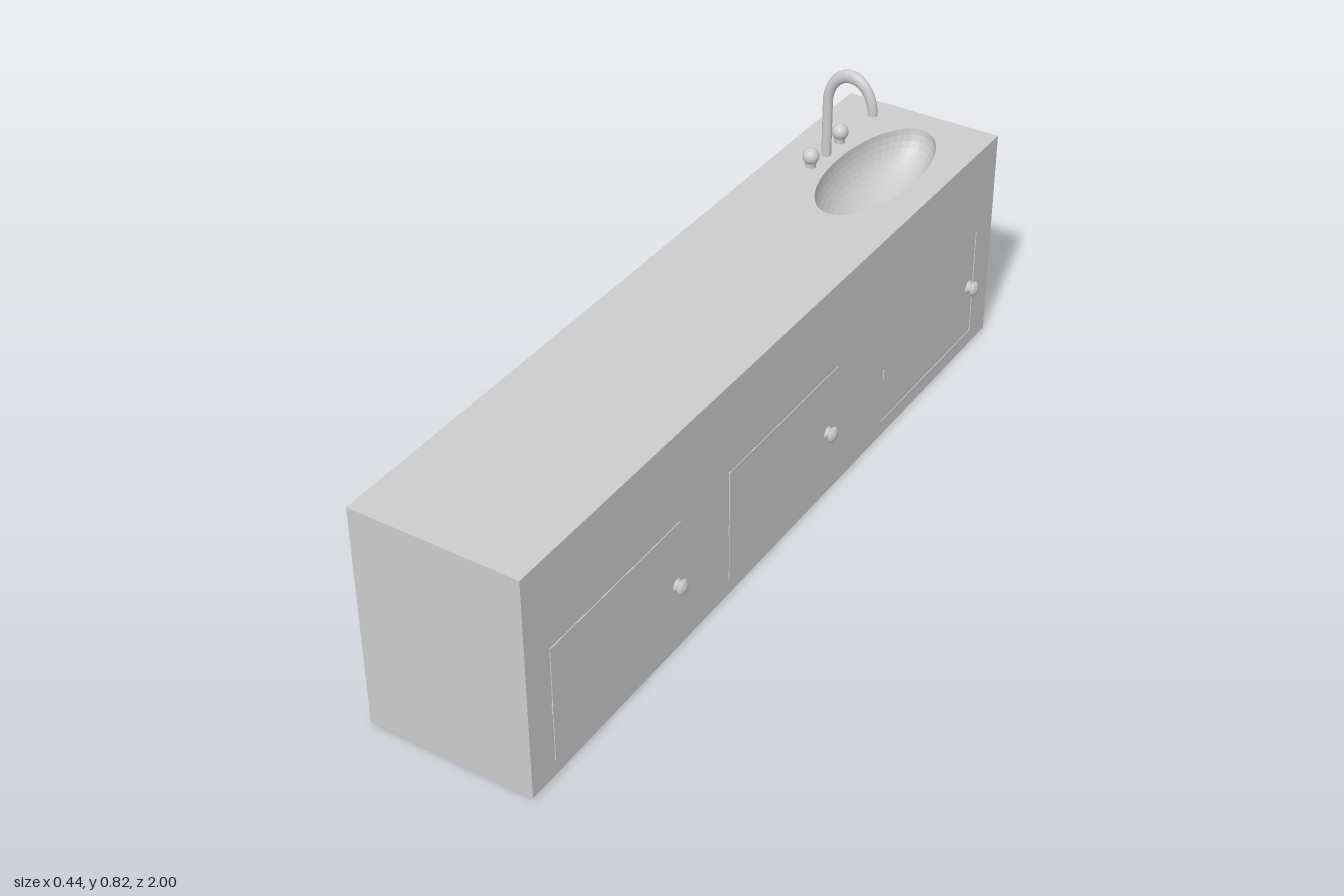
import * as THREE from 'three';

export function createModel() {
  const model = new THREE.Group();
  const grey = new THREE.MeshStandardMaterial({ color: 0xcccccc, side: THREE.DoubleSide });
  grey.name = 'plain grey';
  const faceted = grey.clone();
  faceted.flatShading = true;

  function add(name, geometry, x, y, z, material = grey) {
    const mesh = new THREE.Mesh(geometry, material);
    mesh.name = name;
    mesh.position.set(x, y, z);
    model.add(mesh);
    return mesh;
  }
  const lathe = (pts, seg = 20) =>
    new THREE.LatheGeometry(pts.map(([r, y]) => new THREE.Vector2(r, y)), seg);
  function rectangle(x0, y0, x1, y1, Type = THREE.Shape) {
    const s = new Type();
    s.moveTo(x0, y0);
    s.lineTo(x1, y0);
    s.lineTo(x1, y1);
    s.lineTo(x0, y1);
    s.closePath();
    return s;
  }

  // Cabinet limits, doors and basin
  const L = -0.223, R = 0.194, H = 0.57, W = R - L, midX = (L + R) / 2;
  const doorLow = 0.04, doorHigh = 0.34, doorMid = 0.19, lip = 0.002;
  const basin = { x: 0.022, z: -0.692, rx: 0.105, rz: 0.235, depth: 0.12 };

  // Worktop with an oval opening (shape y becomes -z)
  const top = rectangle(L, -1, R, 1);
  const oval = new THREE.Path();
  oval.absellipse(basin.x, -basin.z, basin.rx, basin.rz, 0, Math.PI * 2, true);
  top.holes.push(oval);
  add('worktop', new THREE.ShapeGeometry(top, 24).rotateX(-Math.PI / 2), 0, H, 0);

  // Bowl: lower half of an ellipsoid
  const bowl = new THREE.SphereGeometry(1, 48, 12, 0, Math.PI * 2, Math.PI / 2, Math.PI / 2);
  bowl.scale(basin.rx, basin.depth, basin.rz);
  bowl.index.array.reverse(); // faces the inside
  bowl.computeVertexNormals();
  add('basin', bowl, basin.x, H, basin.z, faceted);

  // Remaining cabinet walls
  add('cabinetBottom', new THREE.PlaneGeometry(W, 2).rotateX(Math.PI / 2), midX, 0, 0);
  add('cabinetBack', new THREE.PlaneGeometry(2, H).rotateY(-Math.PI / 2), L, H / 2, 0);
  add('cabinetEnd', new THREE.PlaneGeometry(W, H), midX, H / 2, 1);
  add('cabinetEnd', new THREE.PlaneGeometry(W, H).rotateY(Math.PI), midX, H / 2, -1);

  // Door wall with an opening for the slightly sunken door (shape x becomes -z)
  const wall = rectangle(-1, 0, 1, H);
  wall.holes.push(rectangle(0.447, doorLow, 0.917, doorHigh, THREE.Path));
  add('doorWall', new THREE.ShapeGeometry(wall).rotateY(Math.PI / 2), R, 0, 0);

  // Doors, each with a hinge on one side and a knob on the other
  const knobShape = [[0.018, 0], [0.015, 0.004], [0.012, 0.008], [0.016, 0.011],
    [0.02, 0.015], [0.019, 0.019], [0.012, 0.024], [0, 0.026]];
  const doors = [
    { z: 0.685, out: lip, knobZ: 0.467, knobY: 0.178 },
    { z: 0.02, out: lip, knobZ: -0.175, knobY: 0.178 },
    { z: -0.682, out: -lip, knobZ: -0.892, knobY: 0.185 },
  ];
  for (const d of doors) {
    add('door', new THREE.BoxGeometry(0.004, doorHigh - doorLow, 0.47), R + d.out - 0.002, doorMid, d.z);
    add('hinge', new THREE.BoxGeometry(0.004, 0.025, 0.004), R + 0.001, 0.18, d.z + 0.235);
    const knob = add('knob', lathe(knobShape), R, d.knobY, d.knobZ);
    knob.rotation.z = -Math.PI / 2;
  }

  // Tap: straight pipe, then a tall half loop with a closed tip
  const tapX = -0.119, tapZ = -0.695, bend = 0.061, pipe = 0.0122, bendY = 0.715;
  add('tapPipe', new THREE.CylinderGeometry(pipe, pipe, bendY - H, 20), tapX, (H + bendY) / 2, tapZ);
  const spout = new THREE.TorusGeometry(bend, pipe, 16, 32, Math.PI).scale(1, 1.38, 1);
  add('tapSpout', spout, tapX + bend, bendY, tapZ);
  add('tapTip', new THREE.CircleGeometry(pipe, 20).rotateX(Math.PI / 2), tapX + 2 * bend, bendY, tapZ);

  // Ball handles either side of the tap
  for (const z of [tapZ - 0.07, tapZ + 0.072]) {
    add('handleNeck', lathe([[0.013, 0], [0.012, 0.012], [0.015, 0.013], [0.015, 0.018], [0.01, 0.02]]),
      -0.121, H, z);
    add('handleBall', new THREE.SphereGeometry(0.021, 20, 14), -0.121, 0.6, z);
  }

  return model;
}
